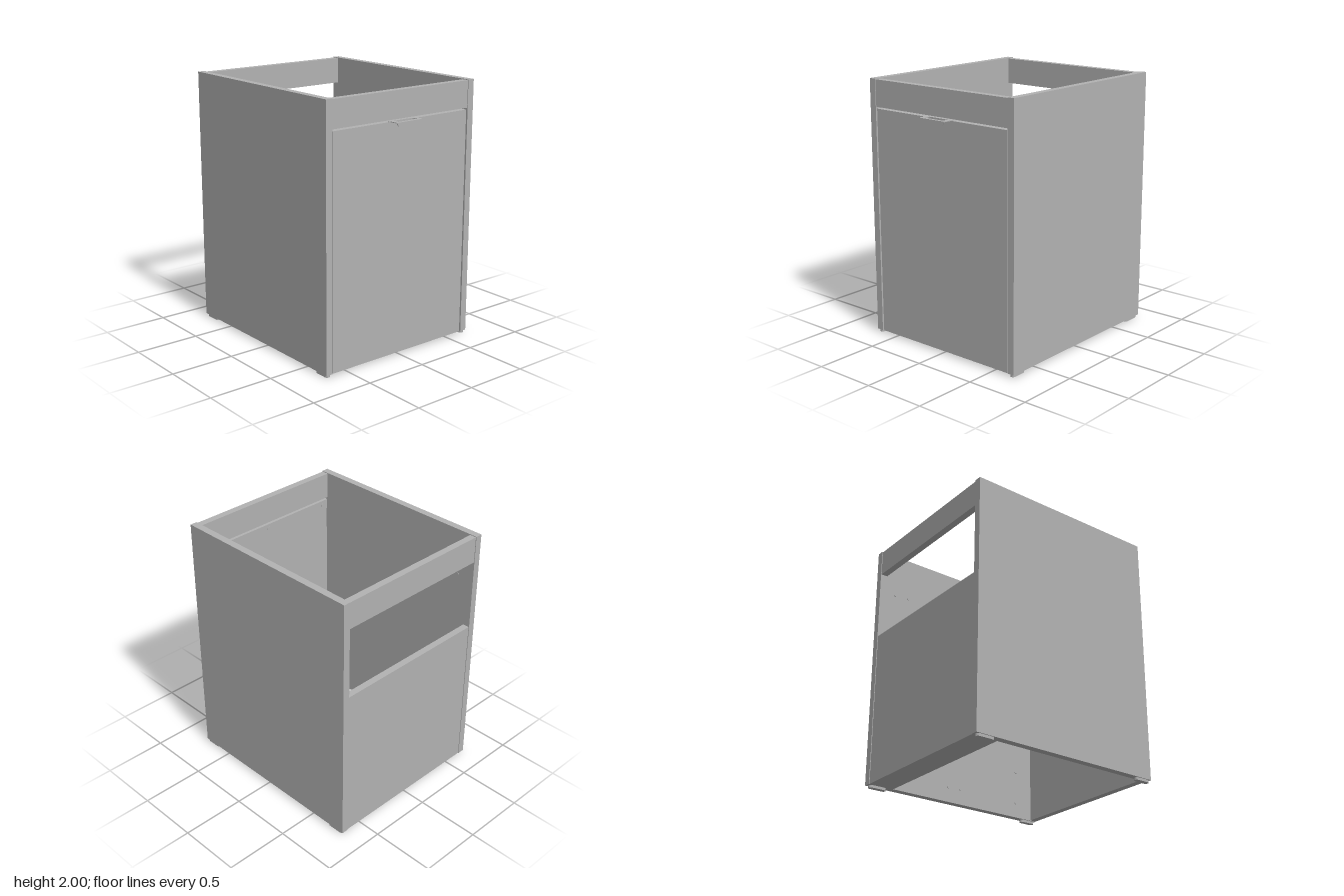
import * as THREE from 'three';

export function createModel() {
  const group = new THREE.Group();
  const grey = new THREE.MeshStandardMaterial({ color: 0xb2b2b2 });

  const add = (name, geometry) => {
    const mesh = new THREE.Mesh(geometry, grey);
    mesh.name = name;
    group.add(mesh);
    return mesh;
  };
  // Box given by its lower and upper limits on each axis
  const panel = (name, x0, x1, y0, y1, z0, z1) => {
    const mesh = add(name, new THREE.BoxGeometry(x1 - x0, y1 - y0, z1 - z0));
    mesh.position.set((x0 + x1) / 2, (y0 + y1) / 2, (z0 + z1) / 2);
    return mesh;
  };

  // Open carcass: two sides, rails, back and floor strip
  panel('leftSide', 0.64, 0.695, 0.02, 2, -0.825, 0.755);
  panel('rightSide', -0.695, -0.64, 0.02, 2, -0.825, 0.755);
  panel('frontRail', -0.64, 0.64, 1.79, 1.995, 0.695, 0.75);
  panel('backRail', -0.64, 0.64, 1.79, 1.995, -0.82, -0.768);
  panel('backPanel', -0.64, 0.64, 0.02, 1.235, -0.82, -0.768);
  panel('floorStrip', -0.64, 0.64, 0.02, 0.075, -0.768, -0.615);

  // Door with a thin mounting strip behind its top edge
  panel('door', -0.631, 0.631, 0.02, 1.777, 0.697, 0.75);
  panel('doorStrip', -0.63, 0.63, 1.7, 1.777, 0.69, 0.697);
  for (const x of [-0.58, 0, 0.58]) {
    const screw = add('stripScrew', new THREE.CylinderGeometry(0.014, 0.014, 0.004, 16));
    screw.rotation.x = Math.PI / 2;
    screw.position.set(x, 1.74, 0.689);
  }

  // Handle: flat loop with a flared base and a folded lip
  const loop = new THREE.Shape();
  loop.moveTo(-0.135, 0.745);
  loop.lineTo(-0.135, 0.752);
  loop.quadraticCurveTo(-0.122, 0.754, -0.122, 0.77);
  loop.lineTo(-0.122, 0.81);
  loop.quadraticCurveTo(-0.122, 0.825, -0.107, 0.825);
  loop.lineTo(0.107, 0.825);
  loop.quadraticCurveTo(0.122, 0.825, 0.122, 0.81);
  loop.lineTo(0.122, 0.77);
  loop.quadraticCurveTo(0.122, 0.754, 0.135, 0.752);
  loop.lineTo(0.135, 0.745);
  loop.closePath();
  const opening = new THREE.Path();
  opening.moveTo(-0.088, 0.752);
  opening.lineTo(0.088, 0.752);
  opening.lineTo(0.088, 0.8);
  opening.lineTo(-0.088, 0.8);
  opening.closePath();
  loop.holes.push(opening);
  const handle = add('handlePlate', new THREE.ExtrudeGeometry(loop, { depth: 0.005, bevelEnabled: false }));
  handle.rotation.x = Math.PI / 2;
  handle.position.y = 1.782;

  const lip = new THREE.Shape();
  lip.moveTo(-0.105, 1.753);
  lip.lineTo(0.105, 1.753);
  lip.lineTo(0.12, 1.779);
  lip.lineTo(-0.12, 1.779);
  lip.closePath();
  add('handleLip', new THREE.ExtrudeGeometry(lip, { depth: 0.007, bevelEnabled: false })).position.z = 0.817;

  // Narrow round-ended feet under the four corners
  const foot = (x, z, length) => {
    const r = 0.02, h = length / 2 - r;
    const outline = new THREE.Shape();
    outline.absarc(0, h, r, 0, Math.PI, false);
    outline.absarc(0, -h, r, Math.PI, Math.PI * 2, false);
    const mesh = add('foot', new THREE.ExtrudeGeometry(outline, { depth: 0.022, bevelEnabled: false, curveSegments: 8 }));
    mesh.rotation.x = Math.PI / 2;
    mesh.position.set(x, 0.022, z);
  };
  for (const side of [-1, 1]) {
    foot(side * 0.668, 0.683, 0.13);
    foot(side * 0.668, -0.738, 0.145);
  }

  // Small fixing pins on the inner faces of the sides
  const pins = [[1.65, -0.56], [1.64, -0.68], [1.48, -0.33], [0.14, -0.115], [0.14, 0], [0.14, 0.55], [0.4, 0.55]];
  for (const side of [-1, 1]) {
    for (const [y, z] of pins) {
      const pin = add('pin', new THREE.CylinderGeometry(0.01, 0.01, 0.006, 12));
      pin.rotation.z = Math.PI / 2;
      pin.position.set(side * 0.638, y, z);
    }
  }

  return group;
}
